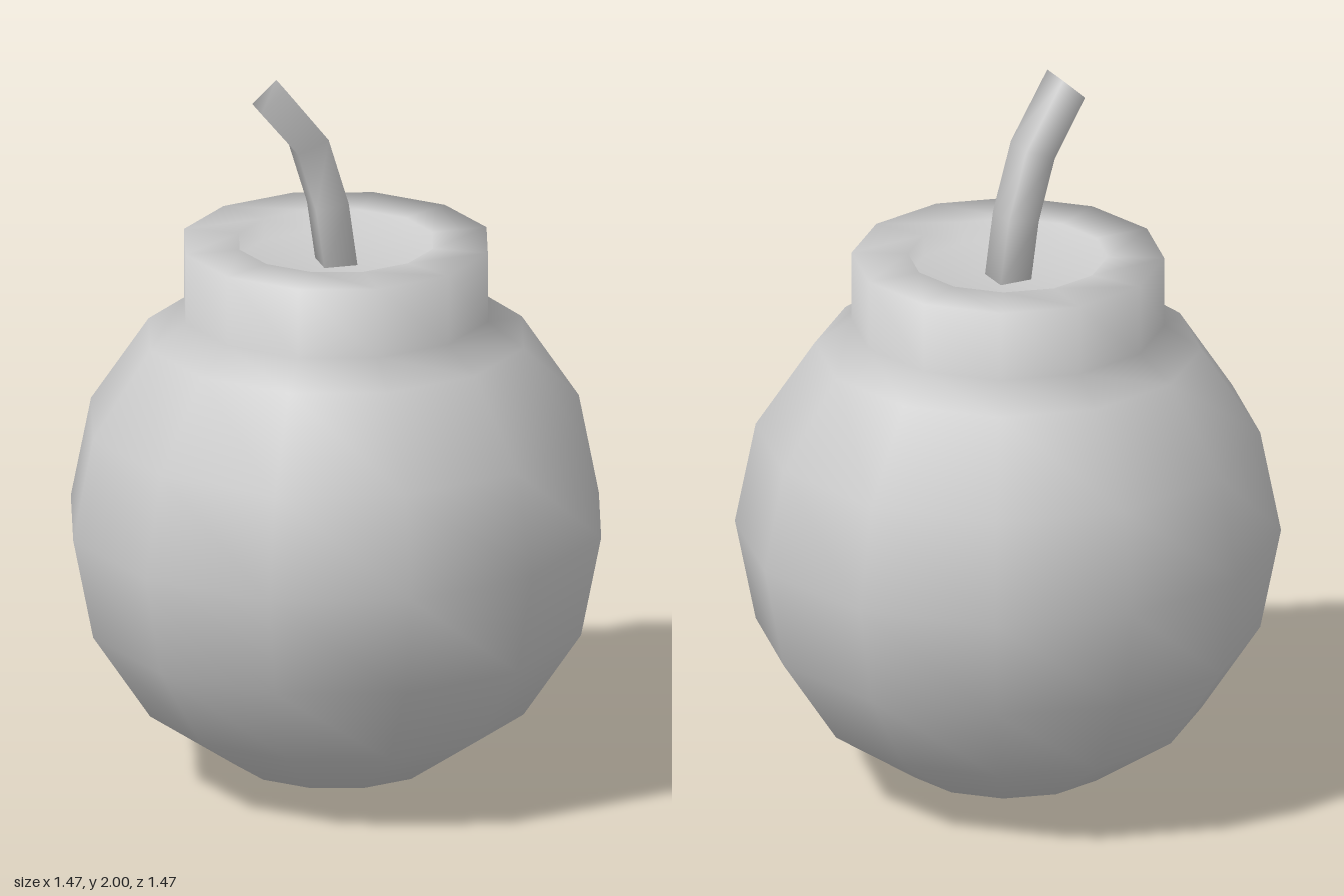
import * as THREE from 'three';
import { mergeVertices } from 'three/addons/utils/BufferGeometryUtils.js';

const material = new THREE.MeshStandardMaterial({ color: 0xcccccc });

// Round body with a collar and a shallow recess, turned in twelve sides
function createBody() {
  const radius = 0.737;
  const profile = [];
  for (let i = 0; i <= 6; i++) {
    const a = (i * Math.PI) / 8;
    profile.push(new THREE.Vector2(radius * Math.sin(a), radius * (1 - Math.cos(a)) + 0.004));
  }
  profile[0].set(0, 0);
  const collar = [[0.422, 1.33], [0.422, 1.525], [0.27, 1.525], [0.27, 1.465], [0, 1.465]];
  collar.forEach(([r, y]) => profile.push(new THREE.Vector2(r, y)));
  const body = new THREE.Mesh(new THREE.LatheGeometry(profile, 12), material);
  body.name = 'body';
  return body;
}

// Bent square fuse: each ring of a segmented box is moved onto the path and tilted
function createFuse() {
  const size = 0.092;
  // x, y, z of the ring centre, then its tilt in radians
  const rings = [
    [0.003, 1.46, -0.005, 0.03],
    [-0.022, 1.635, -0.003, 0.17],
    [-0.078, 1.815, 0.006, 0.38],
    [-0.202, 1.969, 0.049, 0.74],
  ];
  let geometry = new THREE.BoxGeometry(size, 3, size, 1, 3, 1);
  const p = geometry.attributes.position;
  for (let i = 0; i < p.count; i++) {
    const [x, y, z, tilt] = rings[Math.round(p.getY(i) + 1.5)];
    const across = p.getX(i);
    p.setXYZ(i, x + across * Math.cos(tilt), y + across * Math.sin(tilt), z + p.getZ(i));
  }
  // Share corners so the fuse shades smoothly
  geometry.deleteAttribute('normal');
  geometry.deleteAttribute('uv');
  geometry = mergeVertices(geometry);
  geometry.computeVertexNormals();
  const fuse = new THREE.Mesh(geometry, material);
  fuse.name = 'fuse';
  return fuse;
}

export function createModel() {
  const model = new THREE.Group();
  model.name = 'roundBomb';
  model.add(createBody(), createFuse());
  return model;
}
